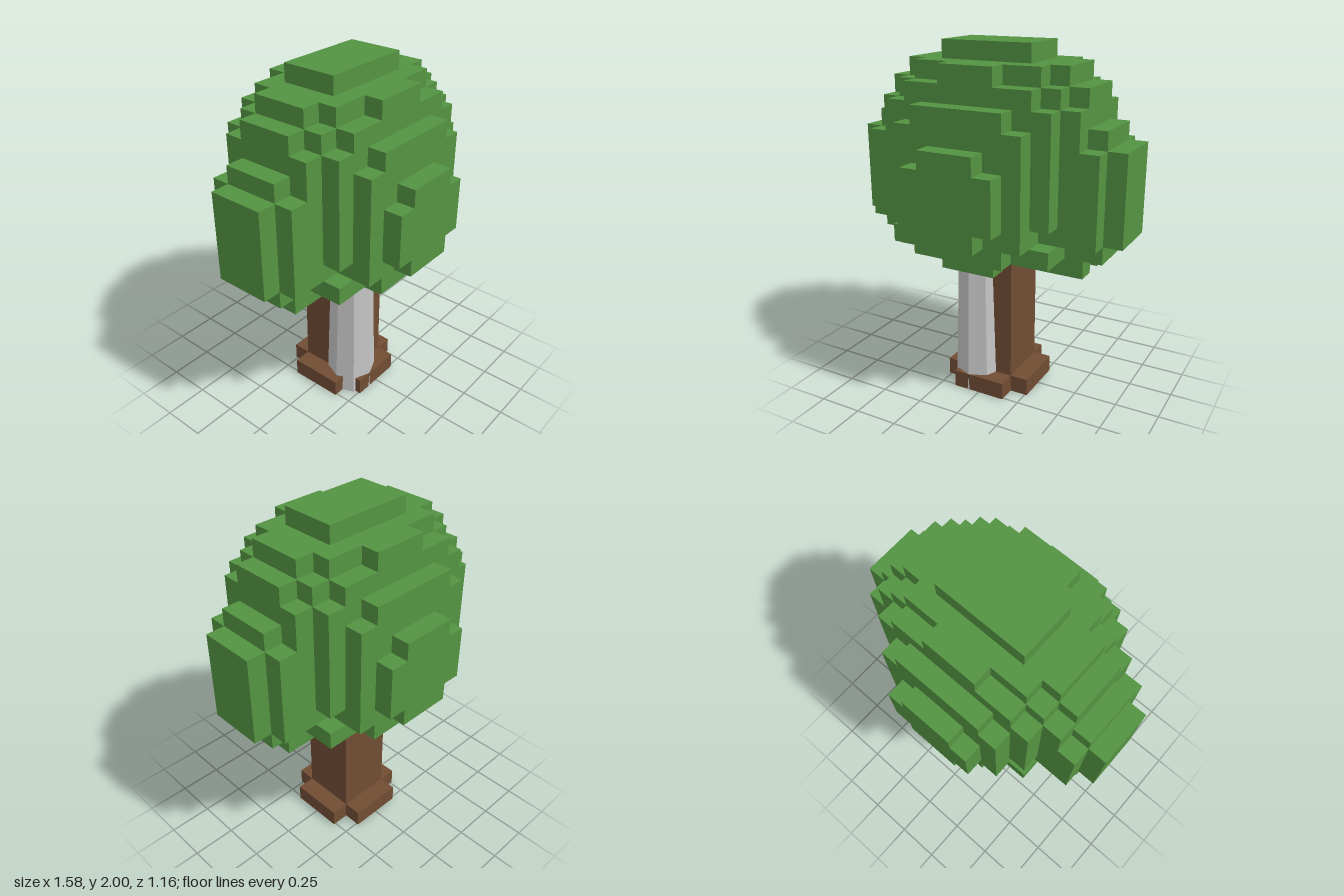
import * as THREE from 'three';

const U = 2 / 19; // horizontal block size

const mat = (name, color) => {
  const m = new THREE.MeshStandardMaterial({ color });
  m.name = name;
  return m;
};

// Stepped slab, symmetric in x and z: rows are [half depth, half width] in blocks, from the middle outwards
function steppedSlab(rows, y0, y1) {
  const quarter = [];
  let z = 0;
  for (const [depth, width] of rows) {
    if (z > 0) quarter.push([width, z]);
    quarter.push([width, depth]);
    z = depth;
  }
  const back = [...quarter].reverse();
  const points = [
    ...quarter,
    ...back.map(([x, d]) => [-x, d]),
    ...quarter.map(([x, d]) => [-x, -d]),
    ...back.map(([x, d]) => [x, -d]),
  ].map(([x, d]) => new THREE.Vector2(x * U, d * U));
  const geo = new THREE.ExtrudeGeometry(new THREE.Shape(points), { depth: y1 - y0, bevelEnabled: false });
  return geo.rotateX(-Math.PI / 2).translate(0, y0, 0);
}

// Box from block limits in x and z, and heights in y
function block(x0, x1, y0, y1, z0, z1) {
  return new THREE.BoxGeometry((x1 - x0) * U, y1 - y0, (z1 - z0) * U)
    .translate((x0 + x1) * U / 2, (y0 + y1) / 2, (z0 + z1) * U / 2);
}

export function createModel() {
  const model = new THREE.Group();
  model.name = 'blockTree';
  const leaf = mat('leafGreen', 0x549442);
  const bark = mat('barkBrown', 0x714d34);
  const grey = mat('paleGrey', 0xc6c6c6);

  const add = (parent, name, geo, material) => {
    const mesh = new THREE.Mesh(geo, material);
    mesh.name = name;
    parent.add(mesh);
    return mesh;
  };

  // Trunk with a cross-shaped foot
  add(model, 'trunk', block(-1.5, 1.5, 0.1, 0.95, -1.5, 1.5), bark);
  add(model, 'trunkFoot', steppedSlab([[1.5, 2.5], [2.5, 1.5]], 0, 0.1), bark);

  // Tapered eight-sided post let into the front of the trunk
  const post = new THREE.CylinderGeometry(0.115, 0.146, 1, 8).toNonIndexed();
  post.computeVertexNormals();
  post.translate(-0.067, 0.499, 0.12);
  add(model, 'post', post, grey);

  // Canopy layers: bottom, top, rows
  const canopy = new THREE.Group();
  canopy.name = 'canopy';
  model.add(canopy);
  const layers = [
    [0.9, 1.0, [[1.5, 6.5], [2.5, 4.5], [3.5, 4.5], [4.5, 2.5]]],
    [1.0, 1.1, [[1.5, 7.5], [2.5, 6.5], [4.5, 3.5], [5.5, 1.5]]],
    [1.1, 1.4, [[1.5, 7.5], [2.5, 6.5], [3.5, 4.5], [4.5, 3.5], [5.5, 2.5]]],
    [1.4, 1.5, [[1.5, 7.5], [2.5, 6.5], [3.5, 4.5], [4.5, 3.5], [5.5, 1.5]]],
    [1.5, 1.6, [[1.5, 6.5], [2.5, 5.5], [3.5, 4.5], [4.5, 3.5]]],
    [1.6, 1.7, [[2.5, 5.5], [3.5, 4.5], [4.5, 2.5]]],
    [1.7, 1.8, [[1.5, 5.5], [2.5, 4.5], [3.5, 3.5]]],
    [1.8, 1.9, [[1.5, 4.5], [2.5, 3.5], [3.5, 1.5]]],
    [1.9, 2.0, [[1.5, 2.5]]],
  ];
  layers.forEach(([y0, y1, rows], i) => add(canopy, `leafLayer${i + 1}`, steppedSlab(rows, y0, y1), leaf));

  // Leaf clumps hanging below the canopy
  for (const s of [-1, 1]) {
    const span = (a, b) => [Math.min(a * s, b * s), Math.max(a * s, b * s)];
    add(canopy, 'hangingEndClump', block(-1.5, 1.5, 0.8, 0.9, ...span(2.5, 3.5)), leaf);
    add(canopy, 'hangingSideClump', block(...span(1.5, 4.5), 0.8, 0.9, -1.5, 1.5), leaf);
    for (const z of [-1.5, 0.5]) {
      add(canopy, 'hangingSideTip', block(...span(4.5, 5.5), 0.8, 0.9, z, z + 1), leaf);
    }
  }
  return model;
}
